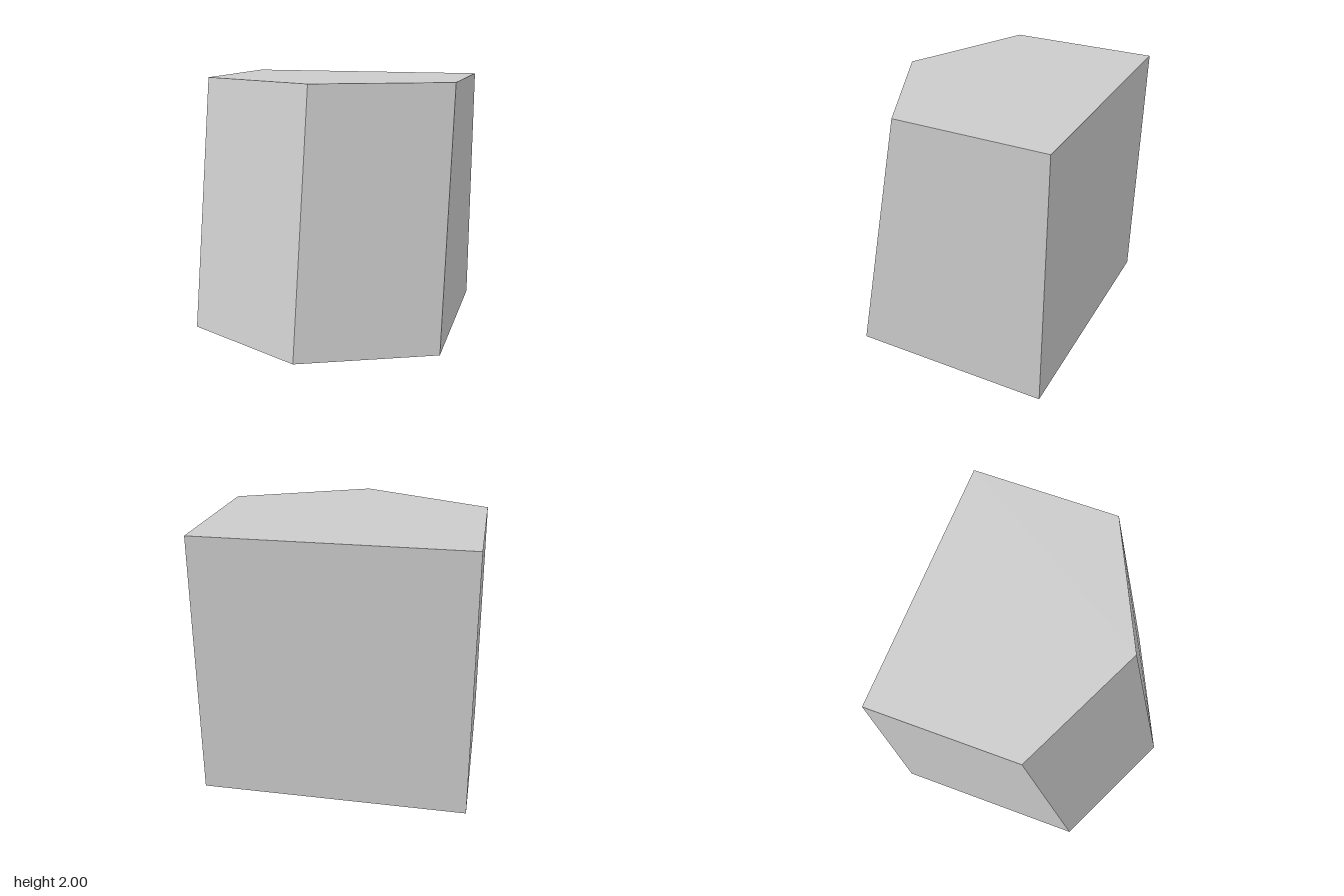
import * as THREE from 'three';

const material = new THREE.MeshStandardMaterial({ color: 0xcccccc, flatShading: true });

// Five-sided outline as [x, z] corners, counterclockwise seen from above
const pentagon = (halfWidth, back, shoulder, apex) => [
  [halfWidth, back], [-halfWidth, back], [-halfWidth, shoulder], [0, apex], [halfWidth, shoulder],
];

// Side walls joining two outlines; inward flips them to face the inside
function walls(lower, y0, upper, y1, inward = false) {
  const pos = [];
  lower.forEach((a, i) => {
    const j = (i + 1) % lower.length;
    const quad = [
      [a[0], y0, a[1]], [lower[j][0], y0, lower[j][1]],
      [upper[j][0], y1, upper[j][1]], [upper[i][0], y1, upper[i][1]],
    ];
    const order = inward ? [0, 2, 1, 0, 3, 2] : [0, 1, 2, 0, 2, 3];
    order.forEach((k) => pos.push(...quad[k]));
  });
  const geo = new THREE.BufferGeometry();
  geo.setAttribute('position', new THREE.Float32BufferAttribute(pos, 3));
  geo.computeVertexNormals();
  return geo;
}

// Flat horizontal face at height y, facing up (1) or down (-1)
function flat(outline, y, facing, hole) {
  const to2D = (ring) => ring.map(([x, z]) => new THREE.Vector2(x, -facing * z));
  const shape = new THREE.Shape(to2D(outline));
  if (hole) shape.holes.push(new THREE.Path(to2D(hole)));
  return new THREE.ShapeGeometry(shape).rotateX(-facing * Math.PI / 2).translate(0, y, 0);
}

export function createModel() {
  const group = new THREE.Group();
  const add = (name, geo) => {
    const mesh = new THREE.Mesh(geo, material);
    mesh.name = name;
    group.add(mesh);
  };

  const base = pentagon(1, -1, 0.53, 1);
  const top = pentagon(1, -1, 0.155, 0.62);
  const opening = pentagon(0.8, -0.835, 0.39, 0.765);
  const recessDepth = 0.135, slotDepth = 0.3, slotFront = -0.52;

  // Body with a leaning, pointed front
  add('bodyWalls', walls(base, 0, top, 2));
  add('topFace', flat(top, 2, 1));
  add('bottomRim', flat(base, 0, -1, opening));

  // Shallow recess in the underside
  add('recessWalls', walls(opening, 0, opening, recessDepth, true));
  add('recessCeiling', flat(pentagon(0.8, slotFront, 0.39, 0.765), recessDepth, -1));

  // Deeper slot along the back of the recess
  const slot = [[0.8, -0.835], [-0.8, -0.835], [-0.8, slotFront], [0.8, slotFront]];
  add('slotWalls', walls(slot, recessDepth, slot, slotDepth, true));
  add('slotCeiling', flat(slot, slotDepth, -1));

  return group;
}
